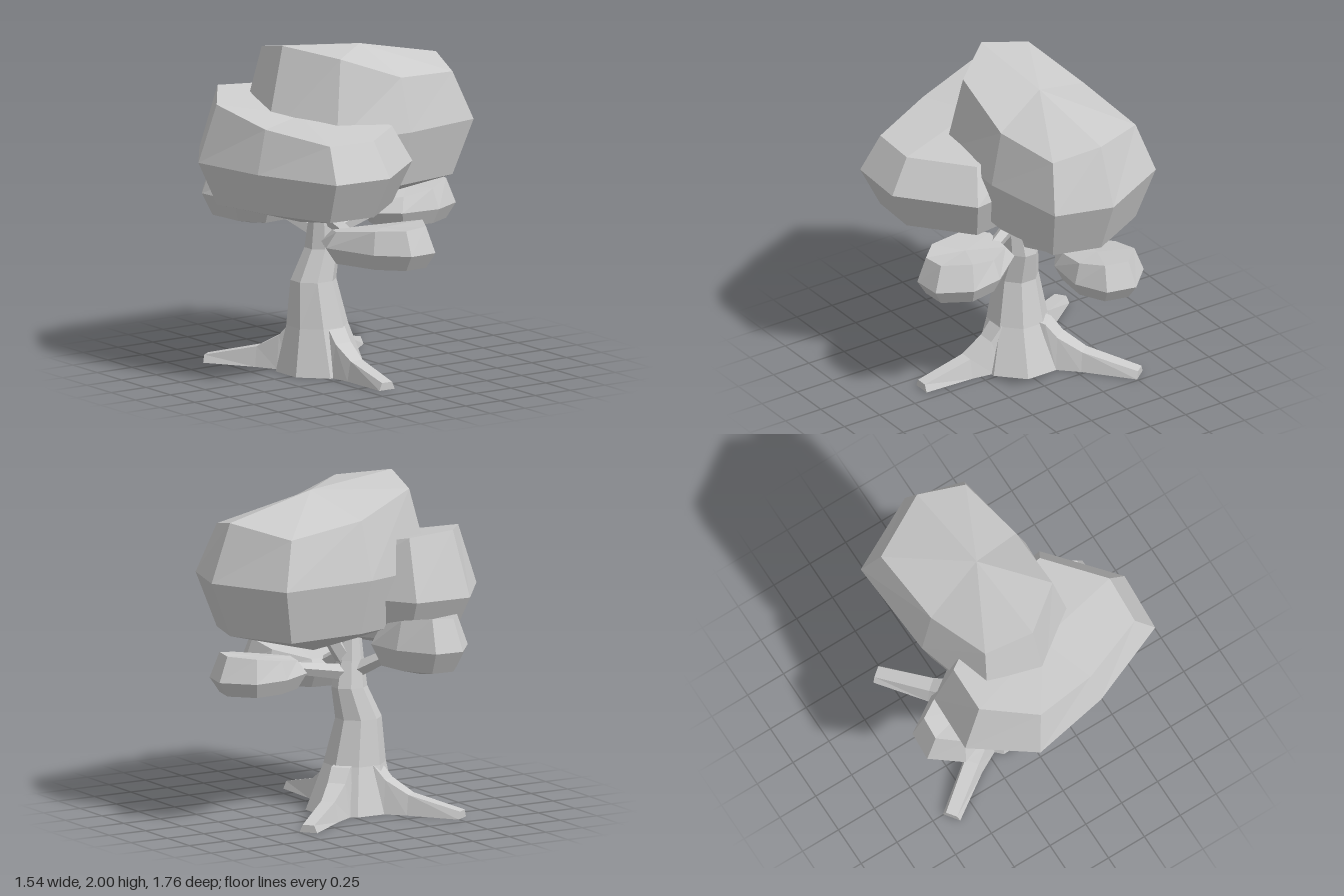
import * as THREE from 'three';

const material = new THREE.MeshStandardMaterial({ color: 0xcccccc, flatShading: true });

// Skin a stack of equal-length rings of [x, y, z]; each ring runs counter-clockwise seen from the last one
function loft(name, rings) {
  const pos = [];
  const same = (p, q) => p.every((v, i) => v === q[i]);
  const tri = (a, b, c) => {
    if (!same(a, b) && !same(b, c) && !same(a, c)) pos.push(...a, ...b, ...c);
  };
  const n = rings[0].length;
  const middle = ring => {
    const c = [0, 1, 2].map(k => ring.reduce((s, p) => s + p[k], 0) / n);
    return ring.map(() => c);
  };
  const closed = [middle(rings[0]), ...rings, middle(rings[rings.length - 1])];
  for (let r = 0; r < closed.length - 1; r++) {
    const a = closed[r], b = closed[r + 1];
    for (let i = 0; i < n; i++) {
      const j = (i + 1) % n;
      tri(a[i], a[j], b[j]);
      tri(a[i], b[j], b[i]);
    }
  }
  const geometry = new THREE.BufferGeometry();
  geometry.setAttribute('position', new THREE.Float32BufferAttribute(pos, 3));
  geometry.computeVertexNormals();
  const mesh = new THREE.Mesh(geometry, material);
  mesh.name = name;
  return mesh;
}

// Leaf clump: outline corners are [x, z, height of the top corner above]; the belly ends in a low point
function foliage(name, midY, bottomY, lowY, inset, outline, crown) {
  const n = outline.length;
  const cx = outline.reduce((s, p) => s + p[0], 0) / n;
  const cz = outline.reduce((s, p) => s + p[1], 0) / n;
  const ring = y => outline.map(([x, z, top]) => [
    cx + (x - cx) * inset, y ?? top, cz + (z - cz) * inset,
  ]);
  const rings = [
    outline.map(() => [cx, lowY, cz]),
    ring(bottomY),
    outline.map(([x, z]) => [x, midY, z]),
    ring(),
  ];
  if (crown) rings.push(outline.map(() => crown));
  return loft(name, rings);
}

// Root: tapering wedge running out along the ground
function root(name, endX, endZ) {
  const x0 = -0.07, z0 = 0.12;
  const len = Math.hypot(endX - x0, endZ - z0);
  const dx = (endX - x0) / len, dz = (endZ - z0) / len;
  const sections = [[0.02, 0.32, 0.08], [0.24, 0.28, 0.09], [0.34, 0.2, 0.085], [0.54, 0.12, 0.065], [1, 0.045, 0.055]];
  return loft(name, sections.map(([t, h, w]) =>
    [[-w, 0], [w, 0], [w * 0.65, h], [-w * 0.65, h]].map(([s, y]) =>
      [x0 + dx * len * t + dz * s, y, z0 + dz * len * t - dx * s])));
}

// Branch: tapered five-sided limb between two points
function branch(name, from, to, r0, r1) {
  const a = new THREE.Vector3(...from), b = new THREE.Vector3(...to);
  const dir = b.clone().sub(a);
  const mesh = new THREE.Mesh(new THREE.CylinderGeometry(r1, r0, dir.length(), 5), material);
  mesh.position.copy(a).add(b).multiplyScalar(0.5);
  mesh.quaternion.setFromUnitVectors(new THREE.Vector3(0, 1, 0), dir.normalize());
  mesh.name = name;
  return mesh;
}

export function createModel() {
  const tree = new THREE.Group();
  tree.name = 'tree';

  // Bent trunk: [y, centre x, centre z, radius x, radius z]
  const trunk = [
    [0, -0.07, 0.12, 0.26, 0.26],
    [0.28, -0.07, 0.145, 0.175, 0.18],
    [0.55, -0.08, 0.165, 0.125, 0.135],
    [0.74, -0.075, 0.105, 0.095, 0.105],
    [0.9, -0.06, 0.12, 0.075, 0.08],
    [1.06, -0.05, 0.13, 0.055, 0.06],
  ].map(([y, x, z, rx, rz]) => Array.from({ length: 8 }, (_, i) => {
    const t = ((i + 0.5) / 8) * Math.PI * 2;
    return [x + (rx * Math.cos(t)) / 0.96, y, z - (rz * Math.sin(t)) / 0.96];
  }));
  tree.add(loft('trunk', trunk));

  // Roots
  tree.add(
    root('leftRoot', 0.62, 0.125),
    root('frontRoot', -0.645, 0.54),
    root('backRoot', -0.54, -0.455),
  );

  // Branches
  tree.add(
    branch('upperFrontBranch', [-0.05, 0.9, 0.12], [0.02, 1.2, 0.26], 0.055, 0.04),
    branch('upperBackBranch', [-0.05, 0.88, 0.1], [-0.06, 1.2, -0.12], 0.055, 0.04),
    branch('leftBranch', [-0.05, 0.95, 0.12], [0.2, 0.82, 0.05], 0.05, 0.035),
    branch('rightBranch', [-0.07, 0.82, 0.12], [-0.35, 1.0, 0.33], 0.05, 0.035),
    branch('backBranch', [-0.06, 0.82, 0.1], [-0.15, 0.92, -0.4], 0.05, 0.035),
  );

  // Leaf clumps
  tree.add(
    foliage('topFoliage', 1.46, 1.13, 0.98, 0.82, [
      [-0.36, 0.49, 1.94], [0, 0.56, 2], [0.34, 0.29, 1.94], [0.36, -0.23, 1.78],
      [0.26, -0.75, 1.75], [-0.09, -0.85, 1.81], [-0.55, -0.61, 1.75], [-0.51, 0, 1.81],
    ], [-0.04, 1.94, -0.14]),
    foliage('frontFoliage', 1.31, 1.06, 0.95, 0.82, [
      [-0.6, 0.62, 1.7], [-0.24, 0.88, 1.66], [0.24, 0.79, 1.57], [0.75, 0.58, 1.52],
      [0.77, 0.21, 1.52], [0.43, -0.19, 1.52], [-0.05, -0.12, 1.58], [-0.59, 0.26, 1.68],
    ]),
    foliage('rightFoliage', 1.03, 0.9, 0.85, 0.78, [
      [-0.77, 0.47, 1.22], [-0.59, 0.61, 1.21], [-0.3, 0.58, 1.15], [-0.12, 0.45, 1.12],
      [-0.14, 0.25, 1.12], [-0.3, 0.12, 1.15], [-0.54, 0.15, 1.2], [-0.76, 0.29, 1.23],
    ]),
    foliage('leftFoliage', 0.805, 0.71, 0.67, 0.82, [
      [0.05, 0.2, 0.88], [0.23, 0.29, 0.9], [0.56, 0.18, 0.94], [0.72, 0.02, 0.95],
      [0.71, -0.16, 0.96], [0.51, -0.27, 0.96], [0.3, -0.23, 0.92], [0.07, -0.04, 0.88],
    ]),
    foliage('backFoliage', 0.89, 0.8, 0.76, 0.8, [
      [-0.39, -0.72, 1.03], [-0.37, -0.5, 1], [-0.25, -0.29, 0.97], [-0.08, -0.25, 0.97],
      [0.03, -0.4, 0.98], [0.05, -0.65, 1.01], [-0.05, -0.84, 1.04], [-0.23, -0.88, 1.04],
    ]),
  );
  return tree;
}
